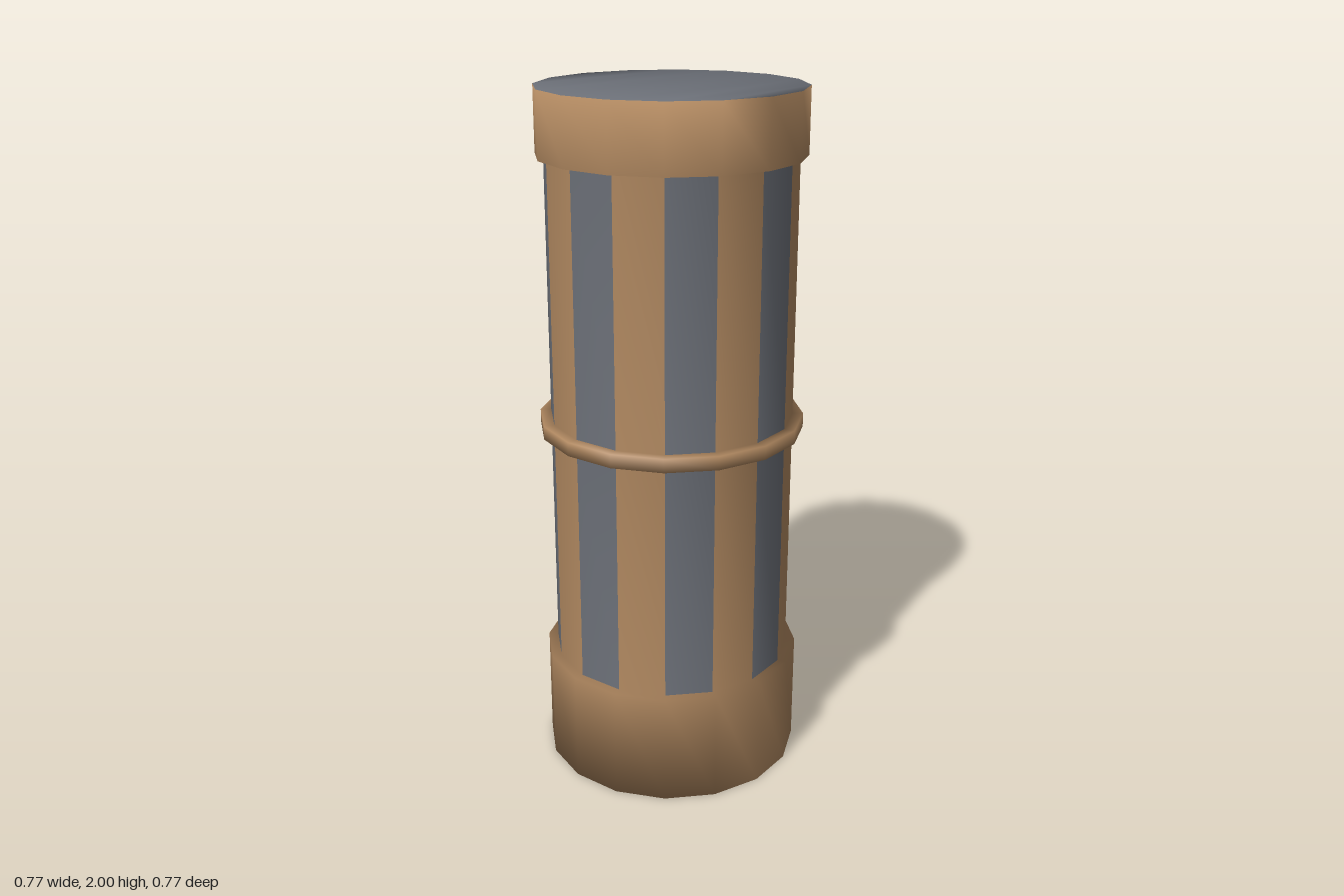
import * as THREE from 'three';

const SIDES = 16;
// outline from bottom to top: [radius, height]; softly shaded across its edges
const PROFILE = [
  [0.38, 0], [0.38, 0.33], [0.352, 0.33],
  [0.352, 1.03], [0.383, 1.03], [0.383, 1.07], [0.352, 1.07],
  [0.352, 1.815], [0.375, 1.815], [0.375, 2],
];
// which part each band between two outline points belongs to
const BANDS = ['base', 'base', 'lowerShaft', 'middleRing', 'middleRing',
  'middleRing', 'upperShaft', 'topCap', 'topCap'];

export function createModel() {
  const group = new THREE.Group();
  const tan = new THREE.MeshStandardMaterial({ name: 'tan', color: 0xb08860 });
  const grey = new THREE.MeshStandardMaterial({ name: 'slateGrey', color: 0x6c7078 });

  const positions = [];
  for (const [r, y] of PROFILE) {
    for (let i = 0; i < SIDES; i++) {
      const a = (i / SIDES) * Math.PI * 2;
      positions.push(r * Math.sin(a), y, r * Math.cos(a));
    }
  }
  const vertex = (row, i) => row * SIDES + ((i + SIDES) % SIDES);

  // collect the faces of each part
  const parts = {};
  const addQuad = (name, a, b, c, d) => (parts[name] ??= []).push(a, b, d, b, c, d);

  // side walls and ledges; every other shaft facet is a grey stripe
  BANDS.forEach((band, j) => {
    for (let i = 0; i < SIDES; i++) {
      const name = band.endsWith('Shaft') && i % 2 ? band + 'Stripes' : band;
      addQuad(name, vertex(j, i), vertex(j, i + 1), vertex(j + 1, i + 1), vertex(j + 1, i));
    }
  });

  // flat ends, filled with strips across the polygon
  const last = PROFILE.length - 1;
  for (let i = 0; i < SIDES / 2 - 1; i++) {
    const corners = [1 - i, 2 + i, 3 + i, -i];
    addQuad('topDisc', ...corners.map((k) => vertex(last, k)));
    addQuad('base', ...corners.map((k) => vertex(0, k)).reverse());
  }

  // shared smooth normals over the whole body
  const body = new THREE.BufferGeometry();
  body.setAttribute('position', new THREE.Float32BufferAttribute(positions, 3));
  body.setIndex(Object.values(parts).flat());
  body.computeVertexNormals();

  for (const [name, index] of Object.entries(parts)) {
    const geometry = new THREE.BufferGeometry();
    geometry.setAttribute('position', body.attributes.position.clone());
    geometry.setAttribute('normal', body.attributes.normal.clone());
    geometry.setIndex(index);
    const isGrey = name.endsWith('Stripes') || name === 'topDisc';
    const mesh = new THREE.Mesh(geometry, isGrey ? grey : tan);
    mesh.name = name;
    group.add(mesh);
  }
  return group;
}
